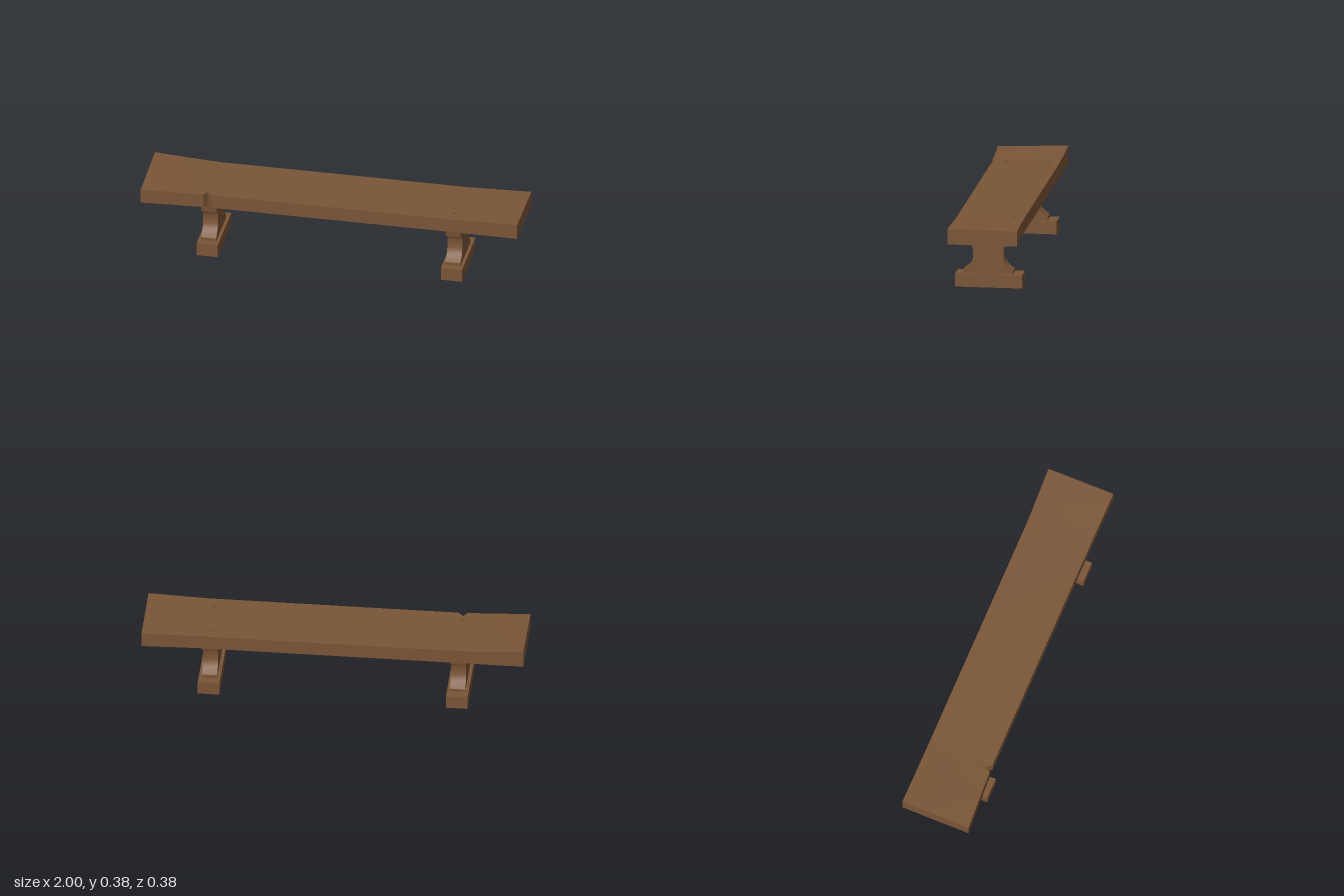
import * as THREE from 'three';
import { toCreasedNormals } from 'three/addons/utils/BufferGeometryUtils.js';

// Plank lofted through stations: [x, front z, back z, top y at front, top y at back]
function plankGeometry(stations, bottom) {
  const rings = stations.map(([x, zf, zb, yf, yb]) => [
    [x, bottom, zf], [x, bottom, zb], [x, yb, zb], [x, yf, zf],
  ]);
  const pos = [];
  const quad = (a, b, c, d) => pos.push(...a, ...b, ...c, ...a, ...c, ...d);
  for (let i = 0; i < rings.length - 1; i++) {
    const a = rings[i], b = rings[i + 1];
    for (let k = 0; k < 4; k++) {
      const n = (k + 1) % 4;
      quad(a[k], a[n], b[n], b[k]);
    }
  }
  const first = rings[0], last = rings[rings.length - 1];
  quad(first[3], first[2], first[1], first[0]);
  quad(...last);
  const geo = new THREE.BufferGeometry();
  geo.setAttribute('position', new THREE.Float32BufferAttribute(pos, 3));
  return toCreasedNormals(geo, 0.4);
}

// Waisted leg: mirrored half profile of [half depth, y], extruded across x
function legGeometry() {
  const half = [
    [0.131, 0.07], [0.131, 0.087], [0.108, 0.104], [0.095, 0.118], [0.086, 0.133],
    [0.08, 0.15], [0.08, 0.197], [0.084, 0.211], [0.092, 0.223], [0.105, 0.232],
    [0.121, 0.236], [0.131, 0.292],
  ];
  const outline = [...half, ...half.map(([z, y]) => [-z, y]).reverse()];
  const shape = new THREE.Shape(outline.map(([z, y]) => new THREE.Vector2(z, y)));
  const geo = new THREE.ExtrudeGeometry(shape, { depth: 0.08, bevelEnabled: false });
  geo.translate(0, 0, -0.04);
  geo.rotateY(-Math.PI / 2);
  geo.translate(0, 0, 0.005);
  return toCreasedNormals(geo, 0.6);
}

export function createModel() {
  const group = new THREE.Group();
  group.name = 'bench';
  const wood = new THREE.MeshStandardMaterial({ color: 0x7a5536 });
  wood.name = 'brown wood';

  const add = (geo, name, x = 0, y = 0, z = 0) => {
    const mesh = new THREE.Mesh(geo, wood);
    mesh.name = name;
    mesh.position.set(x, y, z);
    group.add(mesh);
  };

  // Seat with warped ends and a chip in the front edge
  add(plankGeometry([
    [-1, 0.192, -0.181, 0.369, 0.385],
    [-0.8, 0.18, -0.181, 0.366, 0.372],
    [-0.67, 0.174, -0.181, 0.365, 0.366],
    [-0.655, 0.143, -0.181, 0.365, 0.365],
    [-0.625, 0.172, -0.181, 0.365, 0.365],
    [0.68, 0.172, -0.181, 0.365, 0.365],
    [0.82, 0.173, -0.185, 0.369, 0.367],
    [1, 0.175, -0.192, 0.374, 0.369],
  ], 0.29), 'seat');

  // Legs, feet and the pegs that hold the seat
  const leg = legGeometry();
  const foot = new THREE.BoxGeometry(0.113, 0.07, 0.352);
  const peg = new THREE.CylinderGeometry(0.01, 0.012, 0.02, 8);
  for (const side of [-1, 1]) {
    const label = side > 0 ? 'left' : 'right';
    add(leg, label + 'Leg', side * 0.65);
    add(foot, label + 'Foot', side * 0.65, 0.035, 0);
    add(peg, label + 'FrontPeg', side * 0.65, 0.361, 0.105);
    add(peg, label + 'BackPeg', side * 0.65, 0.361, -0.123);
  }
  return group;
}
